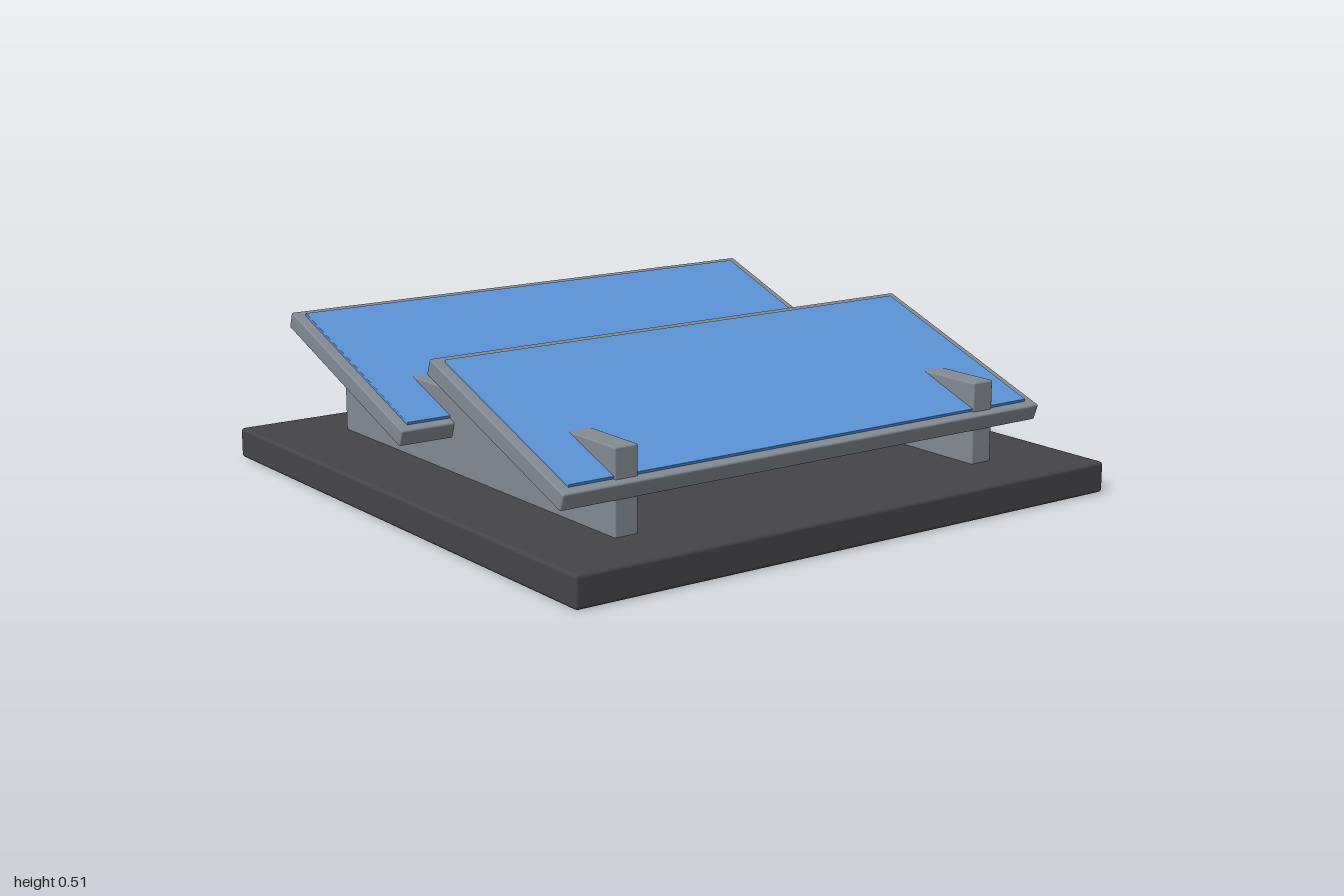
import * as THREE from 'three';
import { RoundedBoxGeometry } from 'three/addons/geometries/RoundedBoxGeometry.js';

const material = (name, color) => {
  const m = new THREE.MeshStandardMaterial({ color });
  m.name = name;
  return m;
};

// Keep the part of a polygon where f(point) >= 0
function clip(points, f) {
  const out = [];
  points.forEach((a, i) => {
    const b = points[(i + 1) % points.length];
    const fa = f(a), fb = f(b);
    if (fa >= 0) out.push(a);
    if (fa * fb < 0) out.push(a.clone().lerp(b, fa / (fa - fb)));
  });
  return out;
}

export function createModel() {
  const charcoal = material('charcoal', 0x454449);
  const steel = material('steel', 0x838a93);
  const blue = material('panel blue', 0x5b93d6);
  const yellow = material('warning yellow', 0xd2a222);

  const model = new THREE.Group();
  model.name = 'solarArray';

  function box(parent, name, mat, size, pos, radius = 0.006) {
    const mesh = new THREE.Mesh(new RoundedBoxGeometry(...size, 2, radius), mat);
    mesh.name = name;
    mesh.position.set(...pos);
    parent.add(mesh);
    return mesh;
  }

  // Base slab
  box(model, 'base', charcoal, [2, 0.1, 2], [0, 0.05, 0], 0.012);

  // Support rails
  for (const side of [-1, 1]) {
    box(model, side > 0 ? 'leftRail' : 'rightRail', steel, [0.08, 0.27, 1.56], [side * 0.68, 0.225, 0]);
  }

  // Two tilted panels: frame with a raised sheet of cells
  for (const [name, z] of [['frontPanel', 0.44], ['rearPanel', -0.44]]) {
    const panel = new THREE.Group();
    panel.name = name;
    panel.position.set(0, 0.361, z);
    panel.rotation.x = THREE.MathUtils.degToRad(20);
    box(panel, 'frame', steel, [1.81, 0.055, 0.75], [0, 0, 0]);
    box(panel, 'cells', blue, [1.74, 0.018, 0.69], [0, 0.0275, 0], 0.002);
    model.add(panel);
  }

  // Striped equipment box with a connector
  const W = 0.375, H = 0.25, D = 0.28;
  const unit = new THREE.Group();
  unit.name = 'equipmentBox';
  unit.position.set(0.7175, 0.22, -0.72);
  model.add(unit);
  box(unit, 'housing', yellow, [W, H, D], [0, 0, 0]);
  box(unit, 'connector', steel, [0.15, 0.05, 0.06], [0, 0.045, 0.15]);

  // Diagonal warning stripes, as thin faces clipped to each side
  function stripes(name, w, h, pos, rot, bands) {
    const face = new THREE.Group();
    face.name = name;
    face.position.set(...pos);
    face.rotation.set(...rot);
    const a = w / 2 - 0.002, b = h / 2 - 0.002;
    const rect = [[-a, -b], [a, -b], [a, b], [-a, b]].map(p => new THREE.Vector2(...p));
    const along = p => p.x / w + 0.5 + 0.53 * (p.y / h + 0.5);
    for (const [from, to] of bands) {
      const outline = clip(clip(rect, p => along(p) - from), p => to - along(p));
      const stripe = new THREE.Mesh(new THREE.ShapeGeometry(new THREE.Shape(outline)), charcoal);
      stripe.name = 'stripe';
      face.add(stripe);
    }
    unit.add(face);
  }
  const wide = [[0.36, 0.77], [1.18, 1.6]];
  const narrow = [[0.35, 0.88], [1.37, 1.6]];
  const gap = 0.002, q = Math.PI / 2;
  stripes('frontStripes', W, H, [0, 0, D / 2 + gap], [0, 0, 0], wide);
  stripes('backStripes', W, H, [0, 0, -D / 2 - gap], [0, 2 * q, 0], wide);
  stripes('topStripes', W, D, [0, H / 2 + gap, 0], [-q, 0, 0], wide);
  stripes('leftStripes', D, H, [W / 2 + gap, 0, 0], [0, q, 0], narrow);
  stripes('rightStripes', D, H, [-W / 2 - gap, 0, 0], [0, -q, 0], narrow);

  return model;
}
